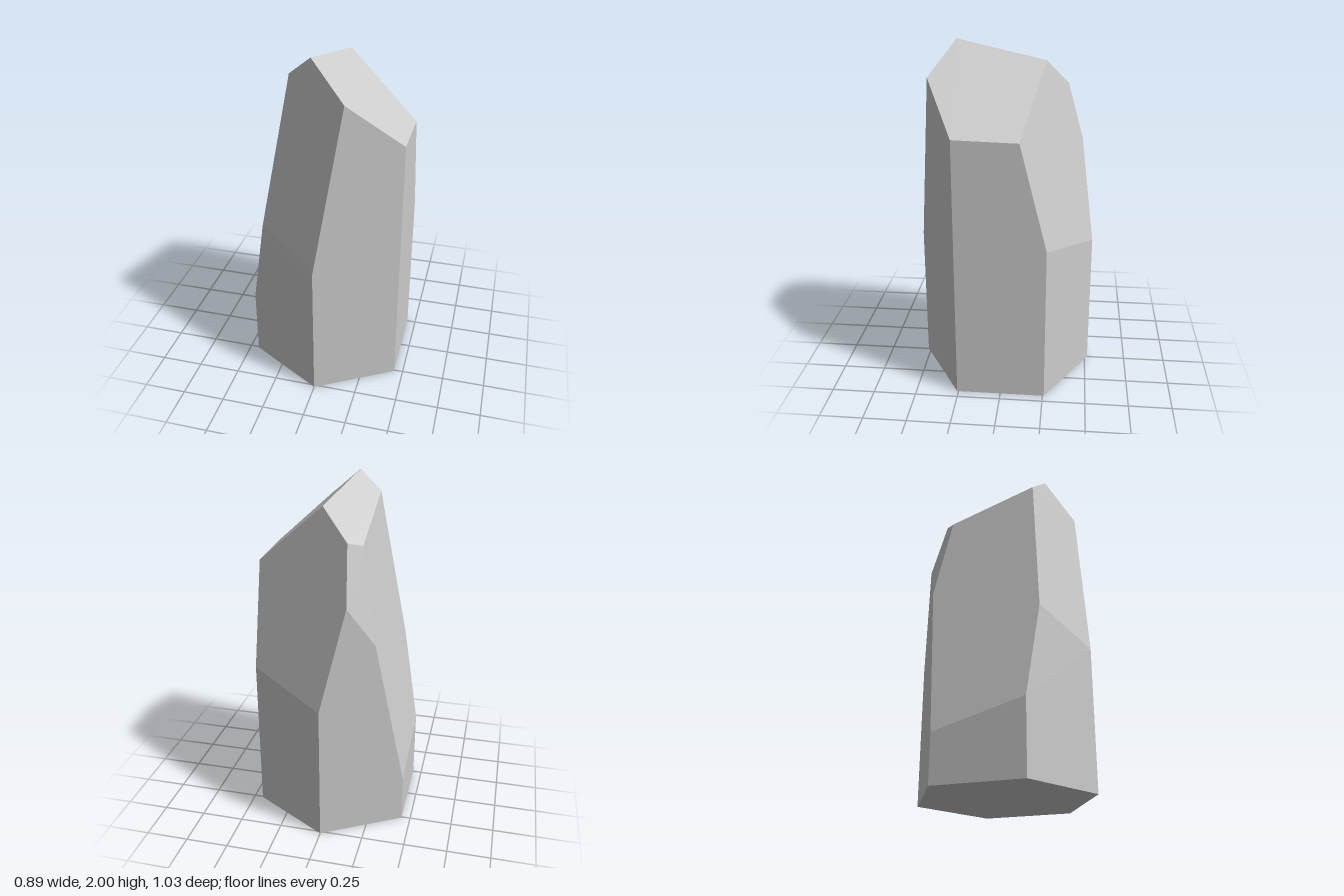
import * as THREE from 'three';

const V = (x, y, z) => new THREE.Vector3(x, y, z);
const CORE = V(0, 0.8, 0); // a point inside the crystal

// Plane through three points, facing away from the core
function facet(a, b, c) {
  const p = new THREE.Plane().setFromCoplanarPoints(a, b, c);
  return p.distanceToPoint(CORE) > 0 ? p.negate() : p;
}

// Point shared by three planes, or null when two of them are parallel
function meet(p, q, r) {
  const qr = q.normal.clone().cross(r.normal);
  const det = p.normal.dot(qr);
  if (Math.abs(det) < 1e-6) return null;
  return qr.multiplyScalar(-p.constant)
    .addScaledVector(r.normal.clone().cross(p.normal), -q.constant)
    .addScaledVector(p.normal.clone().cross(q.normal), -r.constant)
    .divideScalar(det);
}

// Flat-sided solid enclosed by a list of outward planes
function solidFromPlanes(planes) {
  const corners = [];
  for (let i = 0; i < planes.length; i++)
    for (let j = i + 1; j < planes.length; j++)
      for (let k = j + 1; k < planes.length; k++) {
        const v = meet(planes[i], planes[j], planes[k]);
        if (v && planes.every(p => p.distanceToPoint(v) < 1e-5)
          && !corners.some(c => c.distanceTo(v) < 1e-4)) corners.push(v);
      }

  const positions = [];
  for (const plane of planes) {
    const face = corners.filter(c => Math.abs(plane.distanceToPoint(c)) < 1e-4);
    if (face.length < 3) continue;
    // Sort the corners anticlockwise about the face normal, then fan them
    const mid = face.reduce((s, c) => s.add(c), V(0, 0, 0)).divideScalar(face.length);
    const u = face[0].clone().sub(mid).normalize();
    const w = plane.normal.clone().cross(u);
    const angle = c => { const d = c.clone().sub(mid); return Math.atan2(d.dot(w), d.dot(u)); };
    face.sort((a, b) => angle(a) - angle(b));
    for (let i = 1; i < face.length - 1; i++)
      for (const c of [face[0], face[i], face[i + 1]]) positions.push(c.x, c.y, c.z);
  }
  const geometry = new THREE.BufferGeometry();
  geometry.setAttribute('position', new THREE.Float32BufferAttribute(positions, 3));
  geometry.computeVertexNormals();
  return geometry;
}

export function createModel() {
  const group = new THREE.Group();
  group.name = 'crystal';

  // Base and the six upright sides of the hexagonal column
  const planes = [new THREE.Plane(V(0, -1, 0), 0)];
  const apothem = 0.447;
  for (let i = 0; i < 6; i++) {
    const a = i * Math.PI / 3;
    planes.push(new THREE.Plane(V(Math.cos(a), 0, Math.sin(a)), -apothem));
  }

  // Slanted cuts that shape the point
  const peak = V(-0.053, 2, 0.29);
  const shoulder = V(-0.185, 1.89, 0.245);
  const ridge = V(0.04, 1.9, -0.225);
  planes.push(
    facet(peak, V(0, 0.835, 0.515), V(-0.347, 0.99, 0.314)), // front
    facet(shoulder, V(-0.447, 0.425, 0.258), V(-0.19, 1.7175, -0.275)), // right side
    facet(shoulder, peak, ridge), // narrow top
    facet(peak, V(0.447, 1.55, 0.258), V(0.447, 1.54, -0.105)), // broad top
    facet(ridge, V(0.447, 0.93, -0.258), V(0, 0.825, -0.515)), // back
    facet(V(-0.28, 1.19, -0.354), V(-0.137, 1.42, -0.436), V(-0.155, 1.731, -0.3125)) // small back corner
  );

  const crystal = new THREE.Mesh(
    solidFromPlanes(planes),
    new THREE.MeshStandardMaterial({ color: 0xcccccc, flatShading: true })
  );
  crystal.name = 'crystalShard';
  group.add(crystal);
  return group;
}
